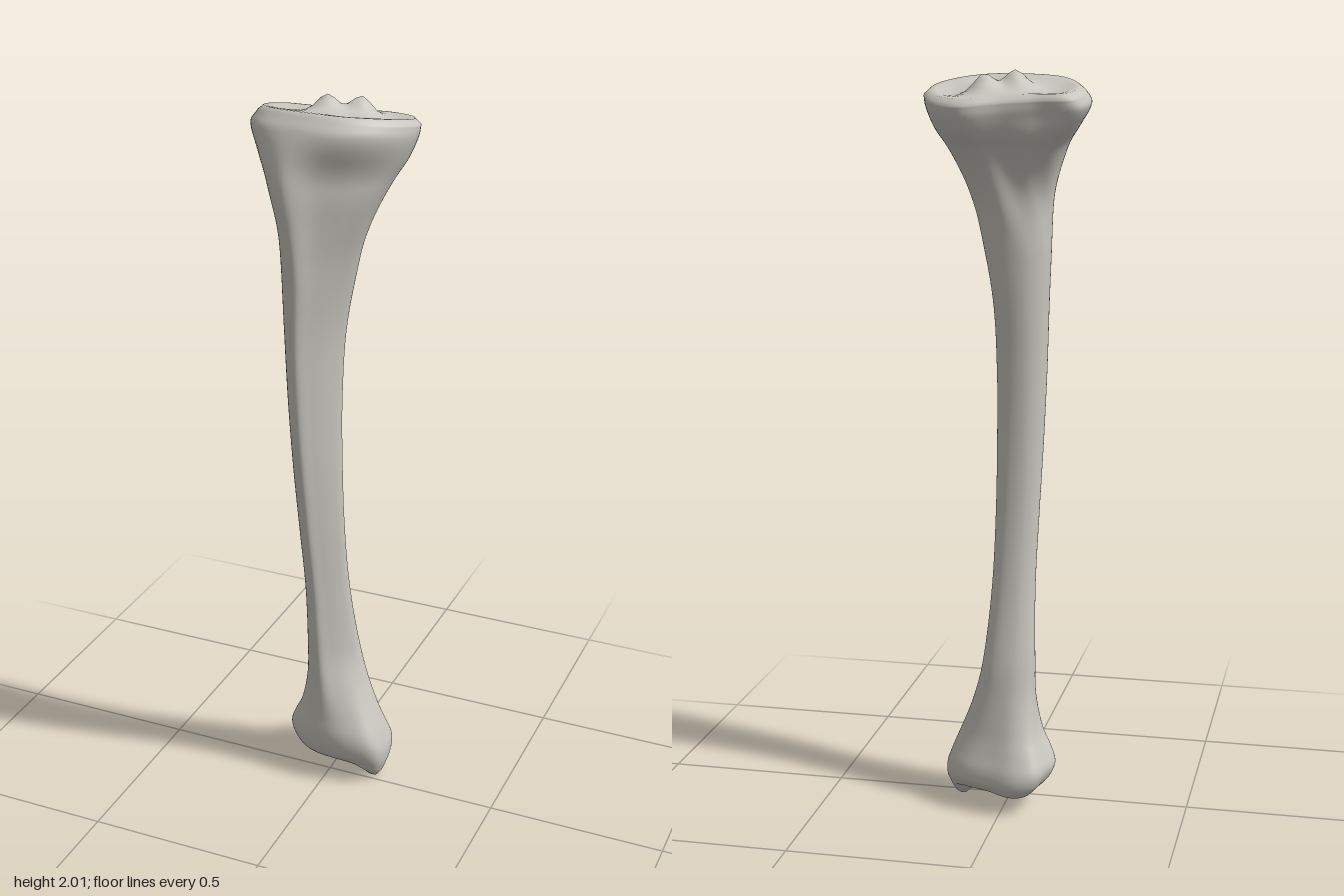
import * as THREE from 'three';

// Outlines in a unit box: start at the front crest, go to +x, the back, then -x
const OUTLINES = {
  distal: [-.05, 1, .45, .97, .88, .75, 1, .3, .96, -.25, .65, -.6, .1, -.85, -.4, -1, -.78, -.85, -.93, -.35, -1, .2, -.6, .85],
  shaft: [-.1, 1, .32, .64, .74, .15, .98, -.3, .93, -.7, .55, -.94, 0, -1, -.5, -.9, -.9, -.6, -1, -.1, -.85, .4, -.5, .84],
  neck: [-.38, 1, .1, .72, .6, .4, .92, .05, 1, -.35, .8, -.78, .4, -1, -.02, -.86, -.45, -.8, -.9, -.55, -1, 0, -.78, .65],
  plateau: [-.28, .97, .3, 1, .69, .74, .97, .23, 1, -.23, .78, -.8, .45, -1, -.04, -.76, -.42, -.61, -.9, -.48, -1, .1, -.71, .74],
};

// y, x min, x max, z min, z max
const LEVELS = [
  [.055, -.105, .155, -.155, .035],
  [.075, -.122, .165, -.172, .052],
  [.11, -.135, .166, -.172, .062],
  [.15, -.122, .152, -.155, .065],
  [.2, -.1, .128, -.135, .06],
  [.3, -.08, .09, -.11, .055],
  [.4, -.075, .066, -.095, .055],
  [.6, -.07, .047, -.06, .07],
  [.8, -.075, .041, -.036, .098],
  [1, -.083, .04, -.025, .125],
  [1.2, -.09, .041, -.025, .146],
  [1.4, -.095, .052, -.034, .165],
  [1.6, -.104, .09, -.046, .18],
  [1.7, -.115, .122, -.065, .186],
  [1.8, -.147, .165, -.115, .19],
  [1.86, -.185, .195, -.158, .174],
  [1.92, -.217, .214, -.184, .145],
  [1.95, -.205, .216, -.189, .122],
];

const step = THREE.MathUtils.smoothstep;
const bump = (x, z, cx, cz, r) => Math.exp(-((x - cx) ** 2 + (z - cz) ** 2) / (r * r));

// Smooth interpolation of the level table at height y
function boxAt(y) {
  let i = 0;
  while (i < LEVELS.length - 2 && LEVELS[i + 1][0] < y) i++;
  const a = LEVELS[i], b = LEVELS[i + 1];
  const h = b[0] - a[0], t = (y - a[0]) / h;
  const slope = (n, k) => {
    const p = LEVELS[Math.max(n - 1, 0)], q = LEVELS[Math.min(n + 1, LEVELS.length - 1)];
    return (q[k] - p[k]) / (q[0] - p[0]);
  };
  return [1, 2, 3, 4].map((k) =>
    a[k] * (1 + 2 * t) * (1 - t) ** 2 + b[k] * t * t * (3 - 2 * t) +
    h * (slope(i, k) * t * (1 - t) ** 2 + slope(i + 1, k) * t * t * (t - 1)));
}

// Closed cross-section at height y, blended between the outlines
function sectionAt(y, count) {
  const [x0, x1, z0, z1] = boxAt(y);
  const toShaft = step(y, .1, .4), toNeck = step(y, 1.5, 1.8), toTop = step(y, 1.8, 1.93);
  const points = [];
  for (let k = 0; k < 24; k += 2) {
    const [u, v] = [k, k + 1].map((n) => {
      let s = THREE.MathUtils.lerp(OUTLINES.distal[n], OUTLINES.shaft[n], toShaft);
      s = THREE.MathUtils.lerp(s, OUTLINES.neck[n], toNeck);
      return THREE.MathUtils.lerp(s, OUTLINES.plateau[n], toTop);
    });
    points.push(new THREE.Vector3((x0 + x1) / 2 + u * (x1 - x0) / 2, y, (z0 + z1) / 2 + v * (z1 - z0) / 2));
  }
  const curve = new THREE.CatmullRomCurve3(points, true);
  return Array.from({ length: count }, (_, j) => curve.getPoint(j / count));
}

// Lower joint: hooked inner ankle, hollow centre and back lip
function shapeBottom(p, inner) {
  const w = 1 - step(p.y, .05, .2);
  p.y -= w * (.058 * bump(p.x, p.z, .13, -.025, .045) + .012 * bump(p.x, p.z, -.04, -.15, .06));
  p.y += .018 * inner * bump(p.x, p.z, .02, -.05, .07);
}

// Upper joint: backward slope, two shallow dishes and the central spines
function shapeTop(p, inner) {
  p.y += .2 * p.z * step(p.y, 1.75, 1.93);
  if (inner === 0) return;
  p.y += inner * (.045 * bump(p.x, p.z, .055, -.075, .035) + .042 * bump(p.x, p.z, -.02, -.03, .035)
    - .014 * bump(p.x, p.z, .13, -.06, .07) - .012 * bump(p.x, p.z, -.12, -.03, .07)
    - .012 * bump(p.x, p.z, .07, .05, .035));
}

function boneGeometry() {
  const count = 84, rings = [];
  const bottom = LEVELS[0][0], top = LEVELS[LEVELS.length - 1][0];
  const cap = [.97, .92, .85, .77, .68, .59, .5, .41, .32, .23, .14, .06, 0];
  // A capping ring is the end section drawn in towards its centre
  const capRing = (y, s, rise, cx, cz) => sectionAt(y, count).map((p) =>
    new THREE.Vector3(cx + (p.x - cx) * s, y + rise * Math.min(1, (1 - s) * 12), cz + (p.z - cz) * s));

  for (const s of [...cap].reverse()) {
    const ring = capRing(bottom, s, -.008, .015, -.06);
    ring.forEach((p) => shapeBottom(p, step(1 - s, 0, .3)));
    rings.push(ring);
  }
  const steps = 110;
  for (let i = 0; i <= steps; i++) {
    // Rings crowd together towards both joints
    const t = i / steps, e = THREE.MathUtils.lerp(t, t * t * (3 - 2 * t), .75);
    const ring = sectionAt(bottom + (top - bottom) * e, count);
    ring.forEach((p) => { shapeBottom(p, 0); shapeTop(p, 0); });
    rings.push(ring);
  }
  for (const s of cap) {
    const ring = capRing(top, s, .016, .01, -.035);
    ring.forEach((p) => shapeTop(p, step(1 - s, 0, .3)));
    rings.push(ring);
  }

  const index = [];
  for (let i = 0; i < rings.length - 1; i++) {
    for (let j = 0; j < count; j++) {
      const k = (j + 1) % count;
      const a = i * count + j, b = i * count + k, c = b + count, d = a + count;
      if (i > 0) index.push(a, b, c);
      else index.push(a, c, d);
      if (i > 0 && i < rings.length - 2) index.push(a, c, d);
    }
  }
  const geometry = new THREE.BufferGeometry().setFromPoints(rings.flat());
  geometry.setIndex(index);
  geometry.computeVertexNormals();
  return geometry;
}

export function createModel() {
  const bone = new THREE.MeshStandardMaterial({ color: 0xc8c6be });
  bone.name = 'bone';
  const group = new THREE.Group();
  group.name = 'shinBone';
  const mesh = new THREE.Mesh(boneGeometry(), bone);
  mesh.name = 'tibia';
  group.add(mesh);
  return group;
}
